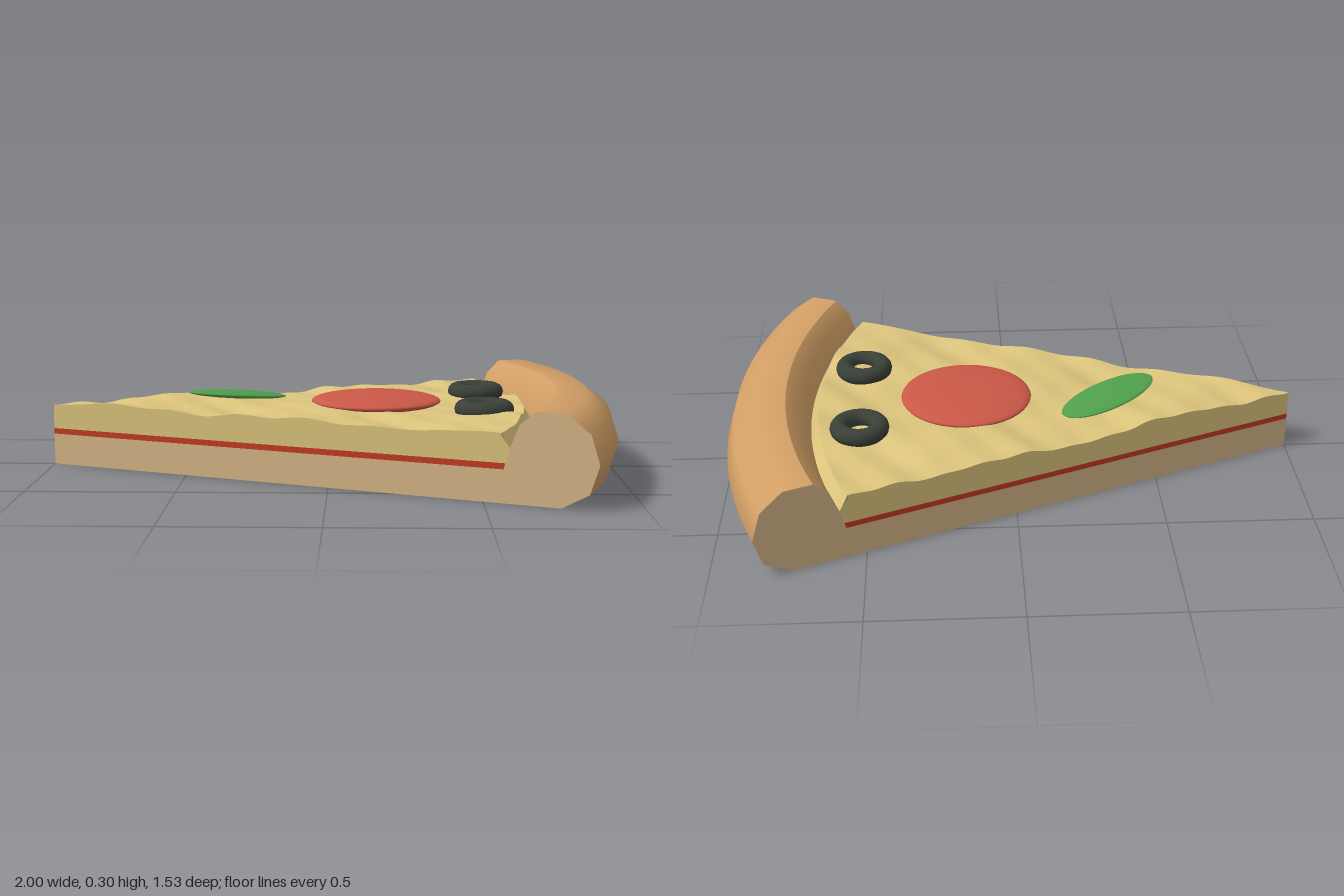
import * as THREE from 'three';

const HALF = Math.PI / 8;      // half of the slice angle
const TIP = -1;                // x of the slice tip
const CHEESE_R = 1.68, CHEESE_BOTTOM = 0.13;

const mat = (name, color) => {
  const m = new THREE.MeshStandardMaterial({ color });
  m.name = name;
  return m;
};

// Gentle bumps of the melted cheese
function cheeseHeight(x, z) {
  return 0.224
    + 0.007 * Math.sin(9 * x + 4 * z + 1.2)
    + 0.006 * Math.sin(13 * z - 6 * x + 0.5)
    + 0.005 * Math.sin(21 * x + 2.0) * Math.cos(19 * z + 0.7)
    + 0.003 * Math.sin(34 * x - 23 * z);
}

// Plane grid whose (u, v) is mapped to [radius, angle, y]; y may be a function
function polarSheet(nu, nv, map) {
  const g = new THREE.PlaneGeometry(1, 1, nu, nv);
  const p = g.attributes.position;
  for (let i = 0; i < p.count; i++) {
    const [r, a, y] = map(p.getX(i) + 0.5, p.getY(i) + 0.5);
    const x = TIP + r * Math.cos(a), z = -r * Math.sin(a);
    p.setXYZ(i, x, typeof y === 'function' ? y(cheeseHeight(x, z)) : y, z);
  }
  g.computeVertexNormals();
  return g;
}

// Surface swept around the tip from a [radius, y] profile
function sweep(profile) {
  const pts = profile.map(([r, y]) => new THREE.Vector2(r, y));
  return new THREE.LatheGeometry(pts, 40, Math.PI / 2 - HALF, 2 * HALF).translate(TIP, 0, 0);
}

// Flat cut face of the slice, on the front (+1) or back (-1) side
function cutFace(profile, side) {
  const shape = new THREE.Shape(profile.map(([r, y]) => new THREE.Vector2(r * side, y)));
  const g = new THREE.ShapeGeometry(shape);
  g.rotateY(side > 0 ? -HALF : Math.PI + HALF);
  return g.translate(TIP, 0, 0);
}

export function createModel() {
  const group = new THREE.Group();
  const crust = mat('baked crust', 0xd29f66);
  const dough = mat('dough', 0xd6b588);
  const sauce = mat('tomato sauce', 0xc43a24);
  const cheese = mat('cheese', 0xdcc47c);
  const pepperoni = mat('pepperoni', 0xcb5848);
  const olive = mat('olive', 0x3a4038);
  const pepper = mat('green leaf', 0x4fa04c);

  const add = (name, geometry, material) => {
    const m = new THREE.Mesh(geometry, material);
    m.name = name;
    group.add(m);
    return m;
  };

  // Crust rim, split at the crease on its inner side
  const outer = [[1.88, 0], [1.97, 0.05], [2.0, 0.145], [1.97, 0.24], [1.89, 0.3], [1.79, 0.3]];
  const inner = [[1.79, 0.3], [1.74, 0.255], [1.71, 0.18], [1.69, 0.11]];
  add('crustOuter', sweep(outer), crust);
  add('crustInner', sweep(inner), crust);

  // Dough underside
  add('doughBottom', new THREE.CircleGeometry(1.88, 40, -HALF, 2 * HALF)
    .rotateX(Math.PI / 2).translate(TIP, 0, 0), dough);

  // Cut sides: dough, sauce and cheese layers
  const doughProfile = [[0, 0], ...outer, ...inner.slice(1), [0, 0.11]];
  const sauceProfile = [[0, 0.11], [1.69, 0.11], [1.695, 0.13], [0, 0.13]];
  for (const side of [1, -1]) {
    const label = side > 0 ? 'Front' : 'Back';
    add('doughCut' + label, cutFace(doughProfile, side), dough);
    add('sauceCut' + label, cutFace(sauceProfile, side), sauce);
    add('cheeseCut' + label, polarSheet(100, 1, (u, v) => [
      CHEESE_R * (side > 0 ? u : 1 - u), -HALF * side,
      (h) => CHEESE_BOTTOM + v * (h - CHEESE_BOTTOM),
    ]), cheese);
    // Small cheese corner where the layer meets the crust
    add('cheeseCorner' + label, cutFace(
      [[1.68, 0.13], [1.696, 0.13], [1.71, 0.18], [1.68, 0.22]], side), cheese);
  }

  // Cheese top and the lip that drops to the crust
  add('cheeseTop', polarSheet(100, 70, (u, v) => [
    CHEESE_R * u, HALF * (2 * v - 1), (h) => h]), cheese);
  add('cheeseLip', polarSheet(70, 1, (u, v) => [
    CHEESE_R + 0.03 * (1 - v), HALF * (2 * u - 1),
    (h) => v > 0.5 ? h : 0.175]), cheese);

  // Pepperoni disc with a low dome
  const disc = add('pepperoniSlice', new THREE.SphereGeometry(0.23, 48, 20), pepperoni);
  disc.scale.y = 0.13;
  disc.position.set(0.16, 0.236, 0);

  // Olive rings
  for (const side of [1, -1]) {
    const ring = add(side > 0 ? 'oliveFront' : 'oliveBack',
      new THREE.TorusGeometry(0.071, 0.031, 14, 36).rotateX(Math.PI / 2), olive);
    ring.position.set(0.53, 0.24, side * 0.223);
  }

  // Green leaf, raised at the end nearer the tip
  const leaf = add('greenLeaf', new THREE.SphereGeometry(1, 36, 18)
    .scale(0.197, 0.014, 0.085).rotateZ(-0.1), pepper);
  leaf.rotation.y = 0.59;
  leaf.position.set(-0.34, 0.25, -0.05);

  return group;
}
